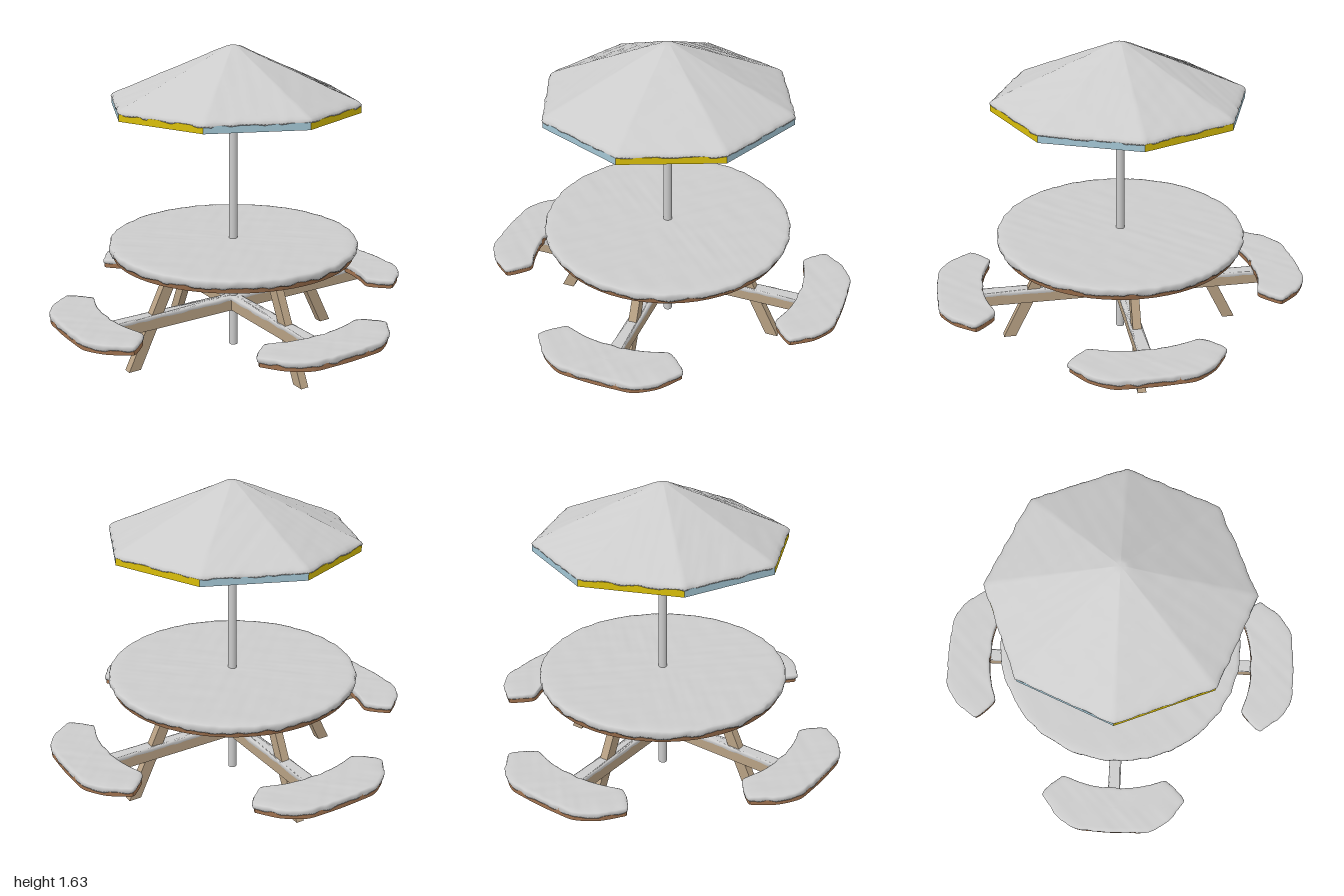
import * as THREE from 'three';

const snowMat = new THREE.MeshStandardMaterial({ color: 0xcccccc });
const poleMat = new THREE.MeshStandardMaterial({ color: 0xcccccc });
const boardMat = new THREE.MeshStandardMaterial({ color: 0xa0724f });
const frameMat = new THREE.MeshStandardMaterial({ color: 0xb8a184 });
const blueMat = new THREE.MeshStandardMaterial({ color: 0xa3c6d4, side: THREE.DoubleSide });
const yellowMat = new THREE.MeshStandardMaterial({ color: 0xd9be0a, side: THREE.DoubleSide });

const TURN = Math.PI / 2;

function add(parent, name, geometry, material) {
  const mesh = new THREE.Mesh(geometry, material);
  mesh.name = name;
  parent.add(mesh);
  return mesh;
}

// Smooth deterministic bumpiness in -1..1
function bump(x, z) {
  return (Math.sin(x * 31 + 2.1 * Math.sin(z * 17)) + Math.sin(z * 37 + 1.7 * Math.sin(x * 23 + 1))
    + Math.sin((x + z) * 61 + 0.5) * 0.7 + Math.sin((x - z) * 83) * 0.5) / 3.2;
}

// Points [x, z] of a regular polygon
function ring(radius, sides) {
  return Array.from({ length: sides }, (_, i) => {
    const a = (i / sides) * Math.PI * 2;
    return [Math.cos(a) * radius, Math.sin(a) * radius];
  });
}

// Splits every straight edge into short steps
function subdivide(points, step) {
  const out = [];
  points.forEach((p, i) => {
    const q = points[(i + 1) % points.length];
    const n = Math.max(1, Math.round(Math.hypot(q[0] - p[0], q[1] - p[1]) / step));
    for (let k = 0; k < n; k++) out.push([p[0] + (q[0] - p[0]) * k / n, p[1] + (q[1] - p[1]) * k / n]);
  });
  return out;
}

// Snow blanket: rings of the outline shrunk toward a centre.
// Each profile entry is [scale, y, vertical bump, sideways bump], from the tucked-in lip to the middle.
function snowBlanket(outline, cz, profile) {
  const n = outline.length, pos = [], idx = [];
  profile.forEach(([s, y, up, side = 0]) => {
    for (const [px, pz] of outline) {
      const dx = px, dz = pz - cz, len = Math.hypot(dx, dz);
      const k = s + side * bump(px * 1.3 + 4, pz * 1.3) / len;
      const x = dx * k, z = cz + dz * k;
      pos.push(x, y + up * bump(x + y, z), z);
    }
  });
  for (let j = 0; j < profile.length - 1; j++) {
    for (let i = 0; i < n; i++) {
      const a = j * n + i, b = j * n + (i + 1) % n, c = a + n, d = b + n;
      idx.push(a, c, b, b, c, d);
    }
  }
  const g = new THREE.BufferGeometry();
  g.setAttribute('position', new THREE.Float32BufferAttribute(pos, 3));
  g.setIndex(idx);
  g.computeVertexNormals();
  return g;
}

// Rounded slab profile, flat on top
function slabProfile(bottom, top, lip, bulge, drip, rings) {
  const h = top - bottom;
  const p = [
    [1 - lip, bottom + h * 0.3, 0],
    [1, bottom, drip, 0.003],
    [1 + bulge * 0.8, bottom + h * 0.25, drip * 0.6, 0.005],
    [1 + bulge, bottom + h * 0.6, 0.002, 0.006],
    [1 + bulge * 0.4, bottom + h * 0.88, 0.002, 0.005],
    [1 - lip * 0.5, top - 0.002, 0.002, 0.003],
  ];
  for (let i = 0; i <= rings; i++) p.push([(1 - lip * 1.3) * (1 - i / rings), top, 0.0025]);
  return p;
}

function board(outline, y, height) {
  const shape = new THREE.Shape(outline.map(([x, z]) => new THREE.Vector2(x, -z)));
  return new THREE.ExtrudeGeometry(shape, { depth: height, bevelEnabled: false })
    .rotateX(-Math.PI / 2).translate(0, y, 0);
}

function createUmbrella() {
  const g = new THREE.Group();
  g.name = 'umbrella';
  const corners = ring(0.655, 8);

  // Alternating canopy panels, each with its hanging valance
  corners.forEach(([x0, z0], i) => {
    const [x1, z1] = corners[(i + 1) % 8];
    const lo = 1.31, hi = 1.345;
    const geo = new THREE.BufferGeometry();
    geo.setAttribute('position', new THREE.Float32BufferAttribute([
      x0, lo, z0, x0, hi, z0, x1, lo, z1,
      x1, lo, z1, x0, hi, z0, x1, hi, z1,
      x0, hi, z0, 0, 1.605, 0, x1, hi, z1,
    ], 3));
    geo.computeVertexNormals();
    add(g, 'canopyPanel', geo, i % 2 ? yellowMat : blueMat);
  });

  // Snow over the canopy
  const profile = [
    [0.97, 1.352, 0],
    [1, 1.341, 0.006, 0.003],
    [1.004, 1.35, 0.004, 0.005],
    [0.99, 1.361, 0.002, 0.005],
  ];
  for (let i = 0; i <= 24; i++) {
    const s = 0.965 - 0.905 * i / 24;
    profile.push([s, 1.371 + (0.965 - s) / 0.905 * 0.256, 0.002]);
  }
  profile.push([0.035, 1.631, 0], [0, 1.632, 0]);
  add(g, 'canopySnow', snowBlanket(subdivide(corners, 0.017), 0, profile), snowMat);

  add(g, 'pole', new THREE.CylinderGeometry(0.023, 0.023, 1.6, 16).translate(0, 0.8, 0), poleMat);
  return g;
}

function createTableTop() {
  const g = new THREE.Group();
  g.name = 'tableTop';
  add(g, 'tableBoard', new THREE.CylinderGeometry(0.65, 0.64, 0.045, 64).translate(0, 0.5625, 0), boardMat);
  add(g, 'tableSnow', snowBlanket(ring(0.65, 220), 0,
    slabProfile(0.565, 0.61, 0.04, 0.012, 0.011, 22)), snowMat);
  return g;
}

function createBench() {
  const g = new THREE.Group();
  g.name = 'bench';
  // Curved seat outline, mirrored across its middle
  const half = [[0.1, 0.985], [0.2, 0.975], [0.3, 0.91], [0.365, 0.825], [0.378, 0.795],
    [0.325, 0.735], [0.275, 0.702], [0.19, 0.728], [0.09, 0.748]];
  const mirrored = half.map(([x, z]) => [-x, z]).reverse();
  const pts = [[0, 0.988], ...half, [0, 0.75], ...mirrored].reverse();
  const curve = new THREE.CatmullRomCurve3(pts.map(([x, z]) => new THREE.Vector3(x, 0, z)), true, 'catmullrom', 0.4);
  const smooth = curve.getSpacedPoints(140).slice(0, -1).map(v => [v.x, v.z]);
  // Order the loop from +x toward +z
  if (THREE.ShapeUtils.area(smooth.map(([x, z]) => new THREE.Vector2(x, z))) < 0) smooth.reverse();
  add(g, 'seatBoard', board(smooth, 0.275, 0.037), boardMat);
  add(g, 'seatSnow', snowBlanket(smooth, 0.86,
    slabProfile(0.295, 0.327, 0.07, 0.025, 0.008, 12)), snowMat);
  return g;
}

function createLeg() {
  const shape = new THREE.Shape([[0.585, 0], [0.652, 0], [0.385, 0.542], [0.318, 0.542]]
    .map(([x, y]) => new THREE.Vector2(x, y)));
  return new THREE.ExtrudeGeometry(shape, { depth: 0.044, bevelEnabled: false }).translate(0, 0, -0.022);
}

export function createModel() {
  const model = new THREE.Group();
  model.name = 'snowyPicnicTable';
  model.add(createUmbrella(), createTableTop());

  // Crossed seat beams
  for (let i = 0; i < 2; i++) {
    add(model, 'seatBeam', new THREE.BoxGeometry(1.72, 0.062, 0.062).translate(0, 0.241, 0), frameMat)
      .rotation.y = i * TURN;
  }

  // Snow lying along the cross
  const w = 0.033, l = 0.86;
  const cross = [[w, -w], [l, -w], [l, w], [w, w], [w, l], [-w, l], [-w, w],
    [-l, w], [-l, -w], [-w, -w], [-w, -l], [w, -l]];
  add(model, 'beamSnow', snowBlanket(subdivide(cross, 0.02), 0, [
    [0.95, 0.268, 0], [1, 0.266, 0.005, 0.002], [1.004, 0.276, 0.002, 0.002],
    [0.97, 0.284, 0.002], [0.75, 0.286, 0.002], [0.4, 0.287, 0.002], [0, 0.287, 0],
  ]), snowMat);

  // Four legs and four benches around the pole
  const legGeometry = createLeg();
  for (let i = 0; i < 4; i++) {
    add(model, 'leg', legGeometry, frameMat).rotation.y = i * TURN;
    const bench = createBench();
    bench.rotation.y = i * TURN;
    model.add(bench);
  }
  return model;
}
